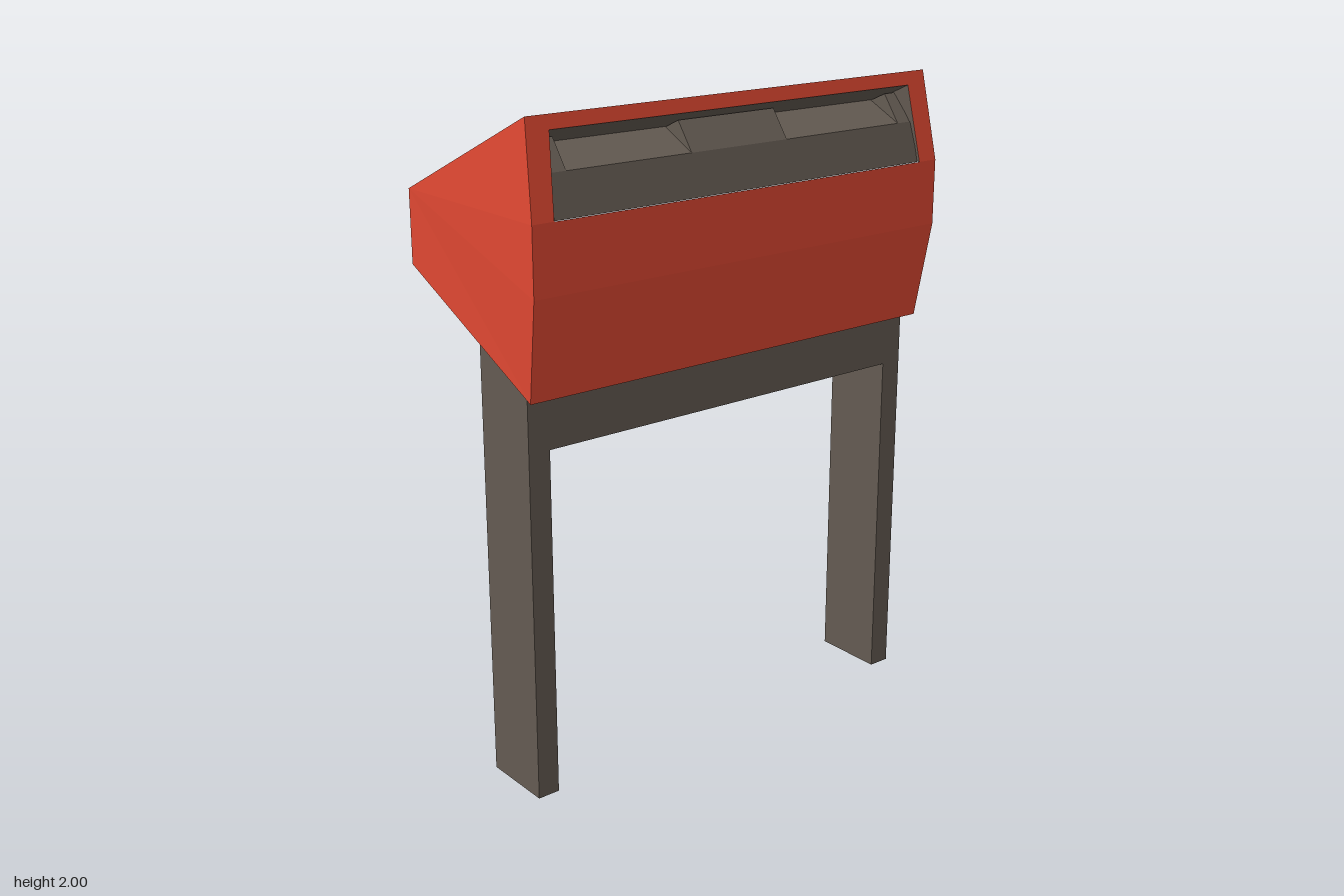
import * as THREE from 'three';

// Flat-faced surface from corner loops (counter-clockwise seen from outside)
function facets(name, material, loops) {
  const pos = [];
  for (const loop of loops)
    for (let i = 1; i < loop.length - 1; i++) pos.push(...loop[0], ...loop[i], ...loop[i + 1]);
  const geo = new THREE.BufferGeometry();
  geo.setAttribute('position', new THREE.Float32BufferAttribute(pos, 3));
  geo.computeVertexNormals();
  const mesh = new THREE.Mesh(geo, material);
  mesh.name = name;
  return mesh;
}

// Side profile of [z, y] points extruded across x
function slab(name, material, profile, width, x) {
  const shape = new THREE.Shape(profile.map(([z, y]) => new THREE.Vector2(z, y)));
  const geo = new THREE.ExtrudeGeometry(shape, { depth: width, bevelEnabled: false });
  geo.translate(0, 0, -width / 2).rotateY(-Math.PI / 2).translate(x, 0, 0);
  const mesh = new THREE.Mesh(geo, material);
  mesh.name = name;
  return mesh;
}

export function createModel() {
  const model = new THREE.Group();
  model.name = 'standingCabinet';
  const red = new THREE.MeshStandardMaterial({ color: 0xe04832 });
  red.name = 'red paint';
  const grey = new THREE.MeshStandardMaterial({ color: 0x645b52 });
  grey.name = 'brown grey';

  // Legs and cross panel: one thick arch
  const arch = new THREE.Shape([
    [-0.715, 0], [-0.645, 0], [-0.645, 1.07], [0.645, 1.07],
    [0.645, 0], [0.715, 0], [0.715, 1.4], [-0.715, 1.4],
  ].map(p => new THREE.Vector2(...p)));
  const archGeo = new THREE.ExtrudeGeometry(arch, { depth: 0.23, bevelEnabled: false });
  archGeo.translate(0, 0, -0.012);
  const legs = new THREE.Mesh(archGeo, grey);
  legs.name = 'legFrame';
  model.add(legs);

  // Hood profile: [half width, y, z], from the top front edge round to the back
  const profile = [
    [0.725, 2.0, 0.26], [0.745, 1.73, 0.31], [0.745, 1.53, 0.31],
    [0.732, 1.23, 0.26], [0.745, 1.51, -0.31], [0.745, 1.73, -0.31],
  ];
  const right = profile.map(([x, y, z]) => [-x, y, z]);
  const left = profile;
  const loops = [left, [...right].reverse()];
  for (let i = 1; i < 6; i++) {
    const j = (i + 1) % 6;
    loops.push([right[i], right[j], left[j], left[i]]);
  }

  // Opening in the upper front face, framed on the top and sides
  const top = s => [s * 0.655, 1.96, 0.2674];
  const low = s => [s * 0.675, 1.73, 0.31];
  loops.push(
    [right[0], top(-1), top(1), left[0]],
    [right[0], right[1], low(-1), top(-1)],
    [left[0], top(1), low(1), left[1]],
  );
  model.add(facets('hood', red, loops));

  // Ceiling, back and reveals inside the opening
  const inTop = s => [s * 0.64, 1.88, 0.1];
  const inLow = s => [s * 0.65, 1.73, 0.1];
  model.add(facets('recessLining', grey, [
    [top(-1), inTop(-1), inTop(1), top(1)],
    [inTop(-1), inLow(-1), inLow(1), inTop(1)],
    [top(-1), low(-1), inLow(-1), inTop(-1)],
    [top(1), inTop(1), inLow(1), low(1)],
  ]));

  // Inner panel with a sloping top, raised at the middle and both ends
  model.add(slab('innerPanel', grey,
    [[0.1, 1.72], [0.305, 1.73], [0.275, 1.85], [0.15, 1.91], [0.1, 1.88]], 1.34, 0));
  const raised = [[0.1, 1.8], [0.275, 1.85], [0.215, 1.932], [0.1, 1.88]];
  model.add(slab('centreRib', grey, raised, 0.35, -0.015));
  for (const s of [-1, 1]) model.add(slab('endRib', grey, raised, 0.05, s * 0.635));

  return model;
}
